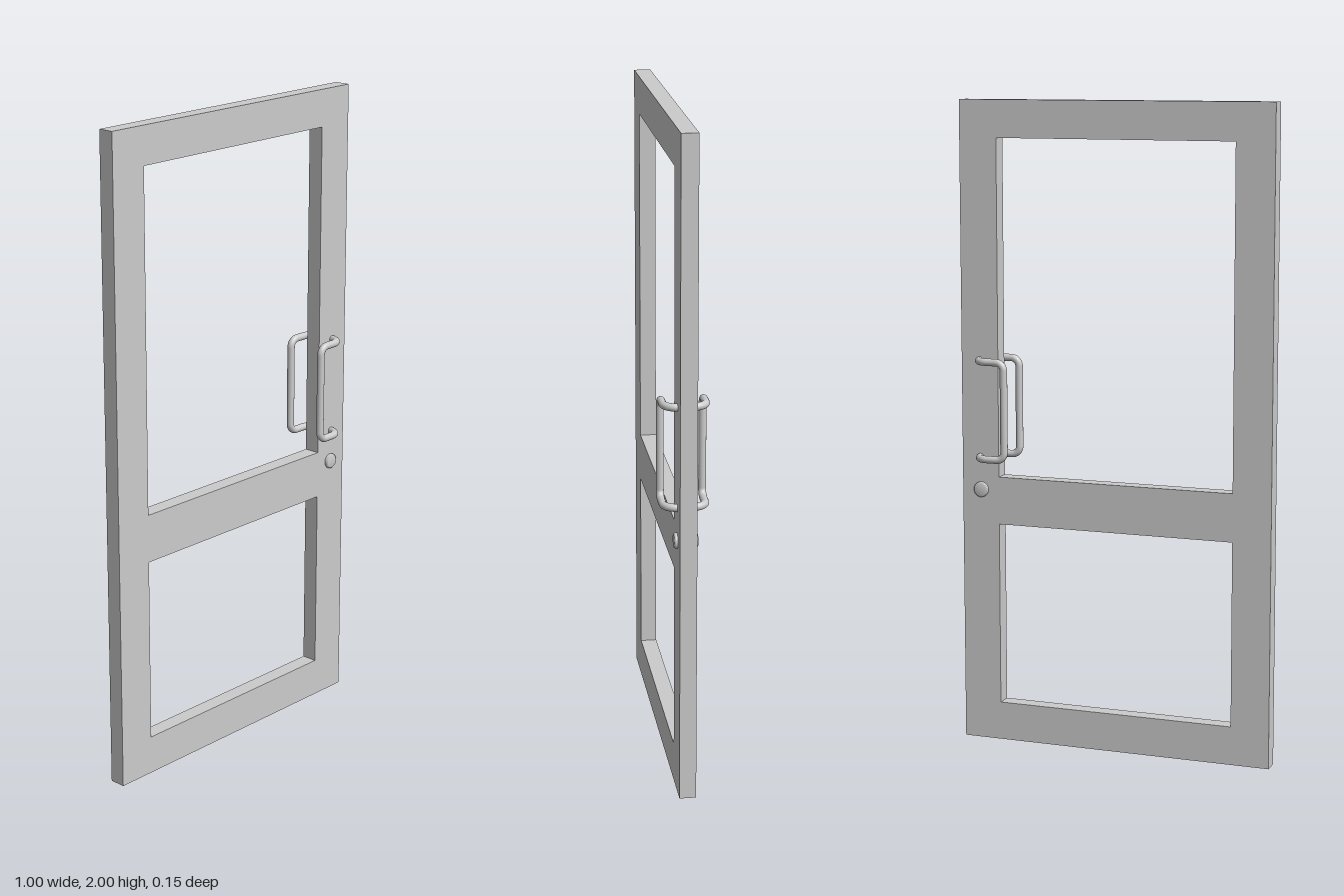
import * as THREE from 'three';

const material = new THREE.MeshStandardMaterial({ color: 0xcccccc });
const DEPTH = 0.05;

function rectangle(path, x0, y0, x1, y1) {
  path.moveTo(x0, y0);
  path.lineTo(x1, y0);
  path.lineTo(x1, y1);
  path.lineTo(x0, y1);
  path.closePath();
  return path;
}

function addMesh(parent, name, geometry) {
  const mesh = new THREE.Mesh(geometry, material);
  mesh.name = name;
  parent.add(mesh);
  return mesh;
}

// Straight runs joined by round corners; radii[i] belongs to points[i + 1]
function roundedPath(points, radii) {
  const path = new THREE.CurvePath();
  let start = points[0];
  for (let i = 1; i < points.length - 1; i++) {
    const corner = points[i];
    const r = radii[i - 1];
    const back = points[i - 1].clone().sub(corner).normalize();
    const ahead = points[i + 1].clone().sub(corner).normalize();
    const at = (dir, d) => corner.clone().addScaledVector(dir, d);
    path.add(new THREE.LineCurve3(start, at(back, r)));
    path.add(new THREE.CubicBezierCurve3(
      at(back, r), at(back, r * 0.448), at(ahead, r * 0.448), at(ahead, r)));
    start = at(ahead, r);
  }
  path.add(new THREE.LineCurve3(start, points[points.length - 1]));
  return path;
}

// Pull handle: leaves the stile, bends sideways, then runs upright
function handleGeometry(side) {
  const root = 0.44, grip = 0.345, low = 0.902, high = 1.205;
  const inner = side * 0.02, outer = side * 0.062;
  const path = roundedPath([
    new THREE.Vector3(root, low, inner),
    new THREE.Vector3(root, low, outer),
    new THREE.Vector3(grip, low, outer),
    new THREE.Vector3(grip, high, outer),
    new THREE.Vector3(root, high, outer),
    new THREE.Vector3(root, high, inner),
  ], [0.038, 0.025, 0.025, 0.038]);
  return new THREE.TubeGeometry(path, 140, 0.0115, 16, false);
}

export function createModel() {
  const door = new THREE.Group();
  door.name = 'door';

  // Frame with a tall upper opening and a shorter lower one
  const outline = rectangle(new THREE.Shape(), -0.5, 0, 0.5, 2);
  outline.holes.push(
    rectangle(new THREE.Path(), -0.379, 0.12, 0.379, 0.693),
    rectangle(new THREE.Path(), -0.379, 0.842, 0.379, 1.885));
  const frame = new THREE.ExtrudeGeometry(outline, { depth: DEPTH, bevelEnabled: false });
  frame.translate(0, 0, -DEPTH / 2);
  addMesh(door, 'doorFrame', frame);

  // Lock cylinder with bevelled rims, passing through the stile
  const lockProfile = [[0, -0.035], [0.019, -0.035], [0.024, -0.03],
    [0.024, 0.03], [0.019, 0.035], [0, 0.035]];
  const lockGeometry = new THREE.LatheGeometry(
    lockProfile.map(([r, h]) => new THREE.Vector2(r, h)), 32);
  lockGeometry.rotateX(Math.PI / 2);
  addMesh(door, 'lock', lockGeometry).position.set(0.438, 0.8, 0);

  // Matching handles on both faces
  addMesh(door, 'frontHandle', handleGeometry(1));
  addMesh(door, 'backHandle', handleGeometry(-1));

  return door;
}
